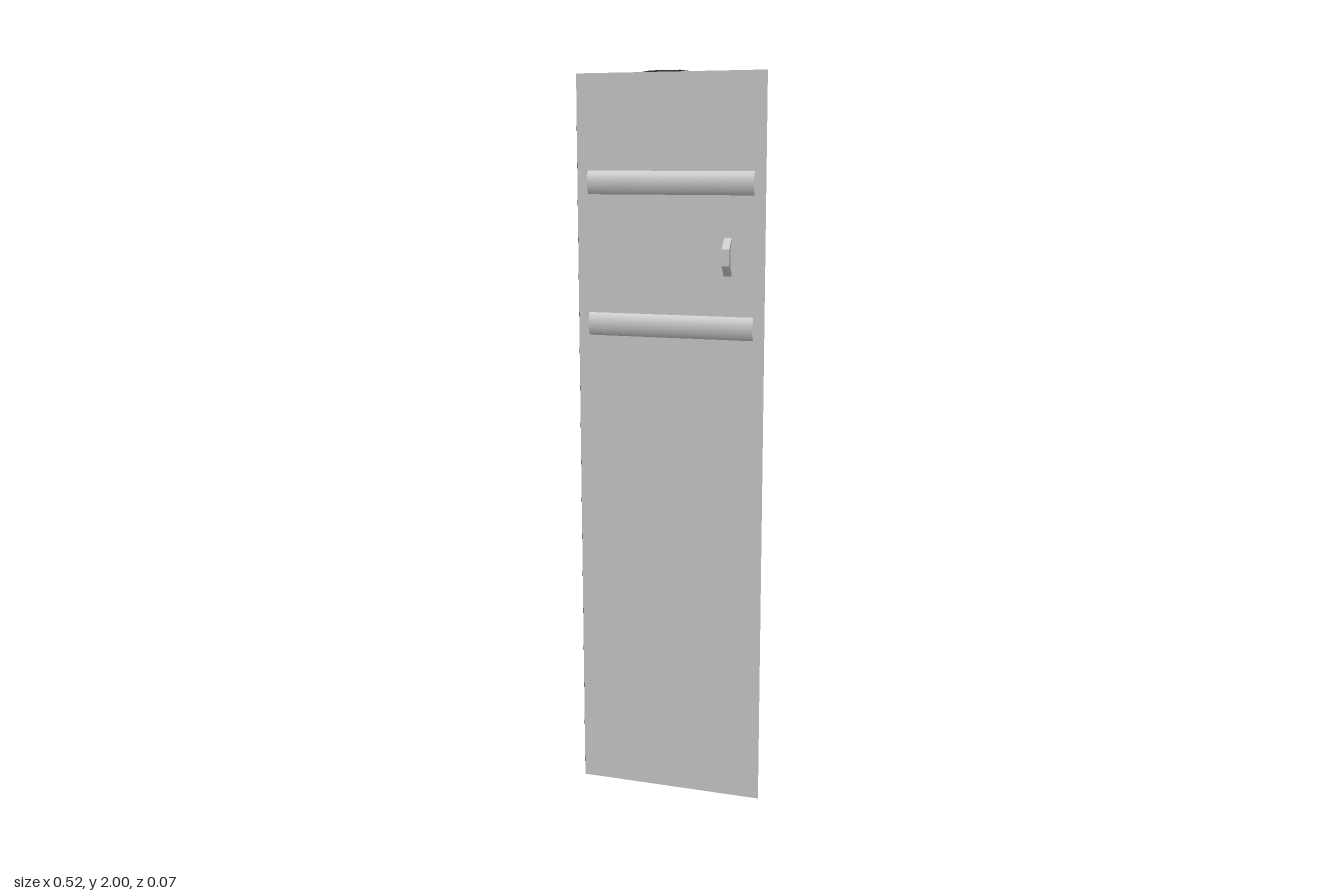
import * as THREE from 'three';

const grey = new THREE.MeshStandardMaterial({ color: 0xc8c8c8, side: THREE.DoubleSide });
grey.name = 'light grey';
const dark = new THREE.MeshStandardMaterial({ color: 0x2b2a21, side: THREE.DoubleSide });
dark.name = 'dark olive';

function add(group, name, geometry, material, x, y, z) {
  const mesh = new THREE.Mesh(geometry, material);
  mesh.name = name;
  mesh.position.set(x, y, z);
  group.add(mesh);
  return mesh;
}

export function createModel() {
  const door = new THREE.Group();
  door.name = 'door';

  // Thin front sheet
  add(door, 'frontPanel', new THREE.PlaneGeometry(0.524, 1.996), grey, 0, 0.998, 0.011);

  // Dark backing sheet with a faceted arched top, slightly narrower than the front
  const arch = [[0.251, 1.86], [0.18, 1.96], [0.1, 1.992], [0.04, 2]];
  const outline = [
    [-0.251, 0], [0.251, 0],
    ...arch,
    ...arch.map(([x, y]) => [-x, y]).reverse(),
  ];
  const backing = new THREE.Shape(outline.map(([x, y]) => new THREE.Vector2(x, y)));
  add(door, 'backPanel', new THREE.ShapeGeometry(backing), dark, -0.012, 0, 0.009);

  // Half-round straps, open at the back and pushed through the panels
  const radius = 0.054;
  for (const [name, y] of [['upperStrap', 1.712], ['lowerStrap', 1.332]]) {
    const strap = new THREE.CylinderGeometry(radius, radius, 0.463, 16, 1, true, -Math.PI / 2, Math.PI);
    strap.rotateZ(Math.PI / 2);
    add(door, name, strap, grey, 0, y, -0.033);
  }

  // Bowed pull handle: side profile in (z, y), mirrored about its middle
  const outer = [[0.003, 0.065], [0.011, 0.05], [0.022, 0.037], [0.033, 0.022]];
  const inner = [[0.023, 0.018], [0.017, 0.033], [0.008, 0.046], [0.003, 0.055]];
  const half = [...outer, ...inner];
  const flip = (list) => list.map(([z, y]) => [z, -y]).reverse();
  const profile = [...outer, ...flip(outer), ...flip(inner), ...inner];
  const shape = new THREE.Shape(profile.map(([z, y]) => new THREE.Vector2(z, y)));
  const width = 0.021;
  const handle = new THREE.ExtrudeGeometry(shape, { depth: width, bevelEnabled: false });
  handle.translate(0, 0, -width / 2);
  handle.rotateY(-Math.PI / 2); // profile x becomes +z
  add(door, 'handle', handle, grey, 0.16, 1.52, 0);

  return door;
}
